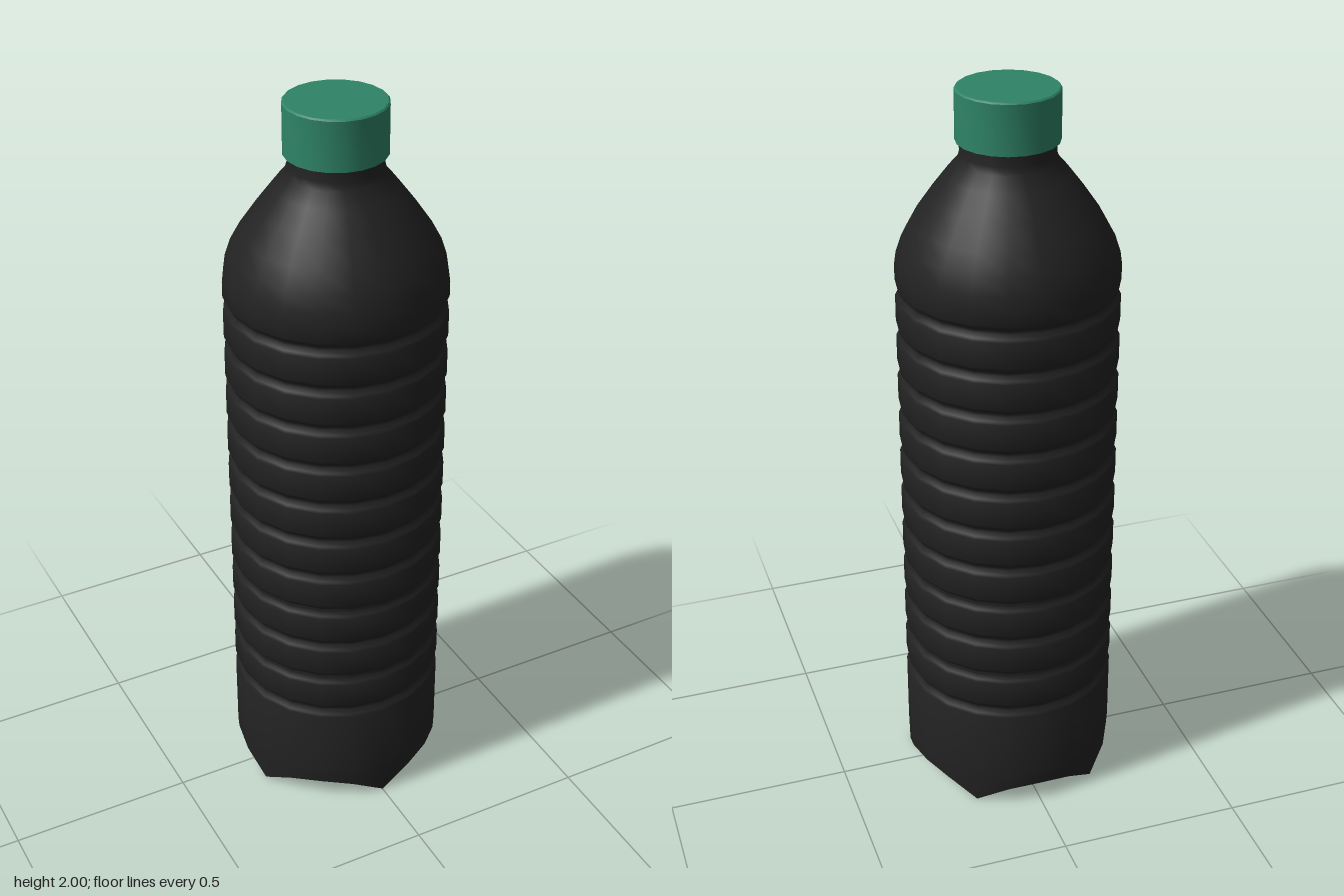
import * as THREE from 'three';
import { toCreasedNormals } from 'three/addons/utils/BufferGeometryUtils.js';

const SIDES = 20;
const R = 0.292;
const SKIRT_TOP = 0.09;

const bodyMaterial = new THREE.MeshStandardMaterial({ color: 0x222222 });
bodyMaterial.name = 'dark plastic';
const capMaterial = new THREE.MeshStandardMaterial({ color: 0x2f8468 });
capMaterial.name = 'green plastic';

function addMesh(group, name, geometry, material) {
  const mesh = new THREE.Mesh(geometry, material);
  mesh.name = name;
  group.add(mesh);
}

function lathe(points) {
  return new THREE.LatheGeometry(points.map(([r, y]) => new THREE.Vector2(r, y)), SIDES);
}

// Ribbed wall, rounded shoulder and neck in one profile
function bodyGeometry() {
  const points = [[R, SKIRT_TOP]];
  for (let i = 0; i < 11; i++) {
    const y = 0.32 + i * 0.1147;
    points.push([R, y - 0.022], [R - 0.004, y - 0.014], [R - 0.013, y - 0.004],
      [R - 0.013, y + 0.004], [R - 0.004, y + 0.014], [R, y + 0.022]);
  }
  points.push([R, 1.53], [0.287, 1.565], [0.272, 1.61], [0.245, 1.66], [0.2, 1.725],
    [0.158, 1.78], [0.128, 1.815], [0.122, 1.835], [0.122, 1.89]);
  return toCreasedNormals(lathe(points), 0.9);
}

// Five-footed base: each ring gives radius and heights at foot, flank and valley
function baseGeometry() {
  const rings = [
    [R, SKIRT_TOP, SKIRT_TOP, SKIRT_TOP],
    [0.29, 0, 0.045, 0.057],
    [0.21, 0.004, 0.055, 0.068],
    [0.13, 0.012, 0.05, 0.062],
    [0, 0.045, 0.045, 0.045],
  ];
  const positions = [];
  const index = [];
  for (const [r, foot, flank, valley] of rings) {
    for (let i = 0; i < SIDES; i++) {
      const a = (i / SIDES) * Math.PI * 2;
      positions.push(r * Math.sin(a), [foot, flank, valley, flank][i % 4], r * Math.cos(a));
    }
  }
  for (let k = 0; k < rings.length - 1; k++) {
    for (let i = 0; i < SIDES; i++) {
      const a = k * SIDES + i;
      const b = k * SIDES + ((i + 1) % SIDES);
      index.push(a, a + SIDES, b);
      if (k < rings.length - 2) index.push(b, a + SIDES, b + SIDES);
    }
  }
  const geometry = new THREE.BufferGeometry();
  geometry.setAttribute('position', new THREE.Float32BufferAttribute(positions, 3));
  geometry.setIndex(index);
  return toCreasedNormals(geometry, 0.5);
}

export function createModel() {
  const group = new THREE.Group();
  group.name = 'bottle';
  addMesh(group, 'body', bodyGeometry(), bodyMaterial);
  addMesh(group, 'base', baseGeometry(), bodyMaterial);

  // Screw cap with a slightly bevelled top edge
  const cap = lathe([[0, 1.866], [0.133, 1.866], [0.133, 1.996], [0.129, 2], [0, 2]]);
  addMesh(group, 'cap', toCreasedNormals(cap, 0.6), capMaterial);
  return group;
}
